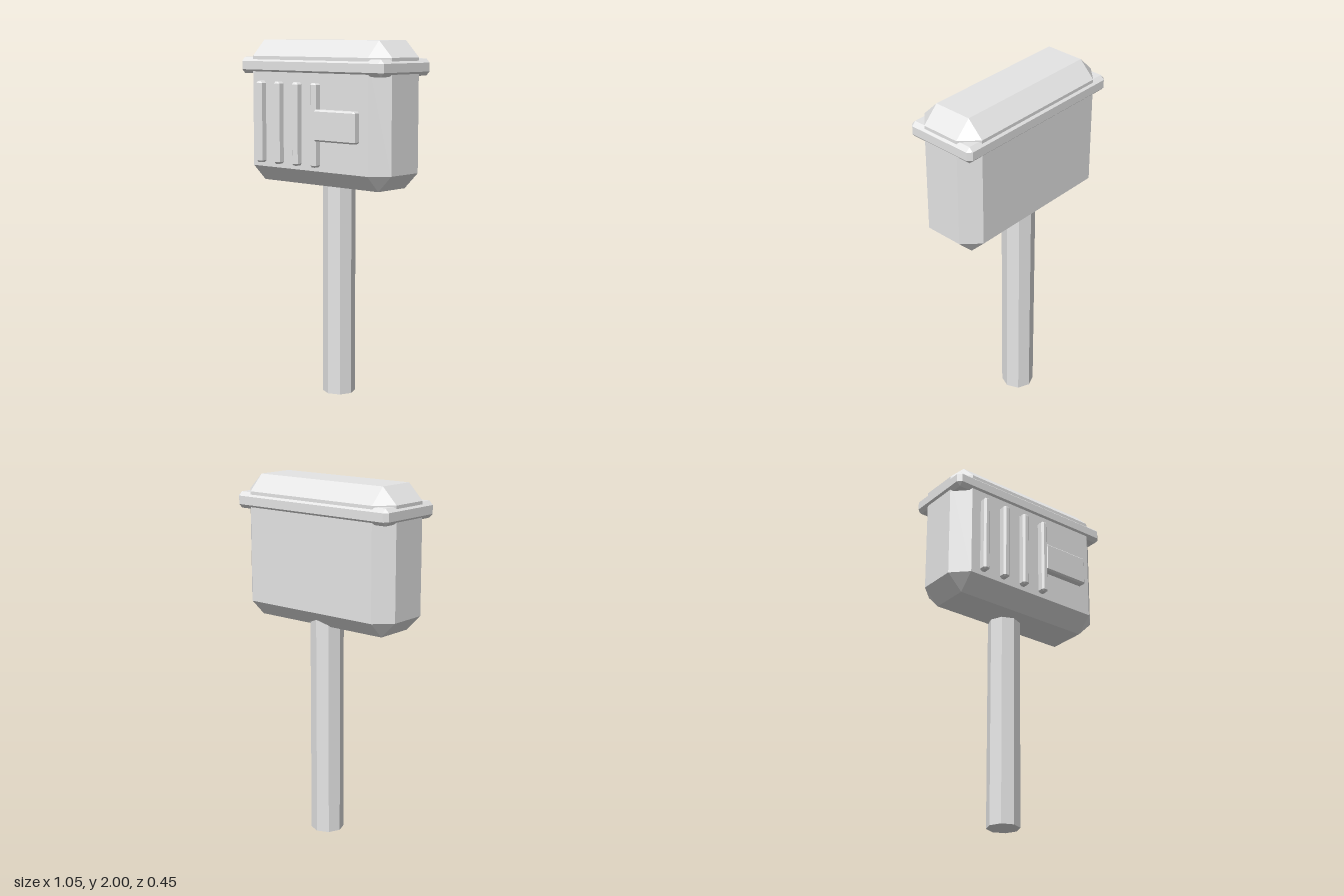
import * as THREE from 'three';
import { ConvexGeometry } from 'three/addons/geometries/ConvexGeometry.js';

// Box with every edge and corner cut by c, given its min and max corners
function chamferedBox(min, max, c) {
  const size = max.map((v, i) => (v - min[i]) / 2);
  const points = [];
  for (const sx of [-1, 1]) for (const sy of [-1, 1]) for (const sz of [-1, 1]) {
    const signs = [sx, sy, sz];
    for (let full = 0; full < 3; full++) {
      points.push(new THREE.Vector3(...signs.map((s, i) => s * (size[i] - (i === full ? 0 : c)))));
    }
  }
  const geometry = new ConvexGeometry(points);
  geometry.translate(...max.map((v, i) => (v + min[i]) / 2));
  return geometry;
}

export function createModel() {
  const group = new THREE.Group();
  group.name = 'mailbox';
  const grey = new THREE.MeshStandardMaterial({ color: 0xe5e5e5, flatShading: true });
  grey.name = 'light grey';

  const add = (name, geometry) => {
    const mesh = new THREE.Mesh(geometry, grey);
    mesh.name = name;
    group.add(mesh);
    return mesh;
  };

  // Main box and the rim around its lid
  add('body', chamferedBox([-0.514, 1.207, -0.215], [0.514, 2, 0.184], 0.089));
  add('lidRim', chamferedBox([-0.525, 1.813, -0.226], [0.525, 1.904, 0.194], 0.022));

  // Upright ribs on the front
  [-0.345, -0.208, -0.07, 0.067].forEach((x, i) => {
    add(`frontRib${i + 1}`, chamferedBox([x - 0.021, 1.32, 0.165], [x + 0.021, 1.774, 0.226], 0.011));
  });

  // Raised plate beside the last rib
  add('frontPlate', chamferedBox([0.075, 1.463, 0.165], [0.367, 1.633, 0.226], 0.009));

  // Octagonal post, set back from the centre
  const post = add('post', new THREE.CylinderGeometry(0.092, 0.092, 1.35, 8));
  post.position.set(-0.002, 0.675, -0.07);

  return group;
}
